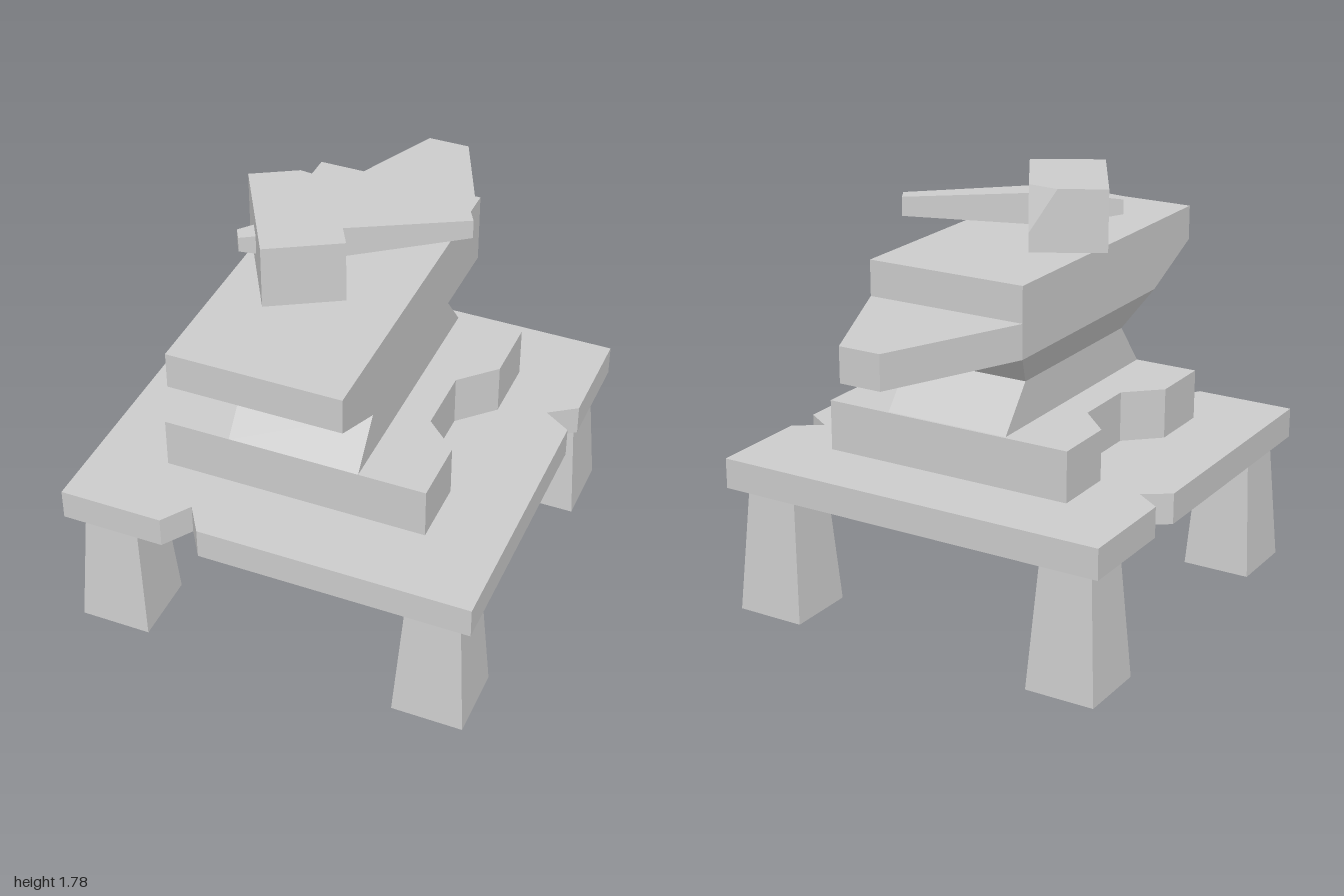
import * as THREE from 'three';
import { ConvexGeometry } from 'three/addons/geometries/ConvexGeometry.js';

const material = new THREE.MeshStandardMaterial({ color: 0xcccccc, flatShading: true });

function part(name, geometry, parent, x = 0, y = 0, z = 0) {
  const mesh = new THREE.Mesh(geometry, material);
  mesh.name = name;
  mesh.position.set(x, y, z);
  parent.add(mesh);
  return mesh;
}

// Box standing on y = 0 whose bottom (w0 x d0) and top (w1 x d1) differ
function taperedBox(w0, d0, w1, d1, h) {
  const geometry = new THREE.BoxGeometry(1, h, 1).translate(0, h / 2, 0);
  const p = geometry.attributes.position;
  for (let i = 0; i < p.count; i++) {
    const top = p.getY(i) > h / 2;
    p.setX(i, p.getX(i) * (top ? w1 : w0));
    p.setZ(i, p.getZ(i) * (top ? d1 : d0));
  }
  geometry.computeVertexNormals();
  return geometry;
}

function extrude(points, depth) {
  const shape = new THREE.Shape(points.map(([a, b]) => new THREE.Vector2(a, b)));
  return new THREE.ExtrudeGeometry(shape, { depth, bevelEnabled: false });
}

// Slab standing on y = 0 from an outline of [x, z] points
function slab(points, h) {
  return extrude(points.map(([x, z]) => [x, -z]), h).rotateX(-Math.PI / 2);
}

export function createModel() {
  const model = new THREE.Group();
  model.name = 'anvilOnTable';

  // Table with chipped edges
  const table = new THREE.Group();
  table.name = 'table';
  model.add(table);
  part('tableTop', slab([
    [-0.865, 1], [-0.43, 1], [-0.35, 0.88], [-0.27, 1], [0.865, 1],
    [0.865, -0.14], [0.75, -0.215], [0.865, -0.295], [0.865, -0.74],
    [-0.865, -0.74], [-0.865, -0.28], [-0.755, -0.2], [-0.865, -0.125],
  ], 0.13), table, 0, 0.55, 0);
  for (const side of [1, -1]) {
    for (const [end, z] of [['front', 0.823], ['back', -0.56]]) {
      part(`${end}${side > 0 ? 'Left' : 'Right'}Leg`,
        taperedBox(0.3, 0.305, 0.225, 0.225, 0.55), table, side * 0.69, 0, z);
    }
  }

  // Anvil: notched foot, pinched waist, body with sloping heel, horn
  const anvil = new THREE.Group();
  anvil.name = 'anvil';
  model.add(anvil);
  const half = [[0.555, 0.68], [0.555, 0.4], [0.415, 0.27], [0.415, -0.015], [0.555, -0.155], [0.555, -0.43]];
  const mirrored = half.map(([x, z]) => [-x, z]).reverse();
  part('foot', slab([...half, ...mirrored], 0.215), anvil, 0, 0.68, 0);
  part('lowerWaist', taperedBox(0.55, 1.1, 0.55, 0.8, 0.185), anvil, 0, 0.895, 0.13);
  part('upperWaist', taperedBox(0.55, 0.8, 0.7, 1.1, 0.145), anvil, 0, 1.08, 0.13);
  part('body', extrude(
    [[-0.42, 1.225], [0.68, 1.225], [1, 1.37], [1, 1.52], [-0.42, 1.52]], 0.7,
  ).rotateY(-Math.PI / 2), anvil, 0.35);
  part('horn', taperedBox(0.7, 0.145, 0.18, 0.145, 0.58).rotateX(-Math.PI / 2), anvil, 0, 1.2975, -0.42);

  // Hammer resting at an angle on the anvil
  const hammer = new THREE.Group();
  hammer.name = 'hammer';
  hammer.position.set(-0.14, 1.65, 0.295);
  hammer.rotation.y = Math.PI / 6;
  model.add(hammer);
  // Head has one chipped upper corner
  const X = 0.159, Y = 0.13, Z = 0.26;
  const corners = [
    [-X, -Y, -Z], [X, -Y, -Z], [-X, -Y, Z], [X, -Y, Z],
    [-X, Y, -Z], [-X, Y, Z], [X, Y, Z],
    [0.045, Y, -Z], [X, Y, -0.178], [X, -0.05, -Z],
  ].map((c) => new THREE.Vector3(...c));
  part('hammerHead', new ConvexGeometry(corners), hammer);
  part('hammerHandle', taperedBox(0.13, 0.128, 0.08, 0.08, 0.517).rotateZ(-Math.PI / 2), hammer, X);
  part('handleStub', taperedBox(0.08, 0.08, 0.062, 0.058, 0.066).rotateZ(Math.PI / 2), hammer, -X);

  return model;
}
